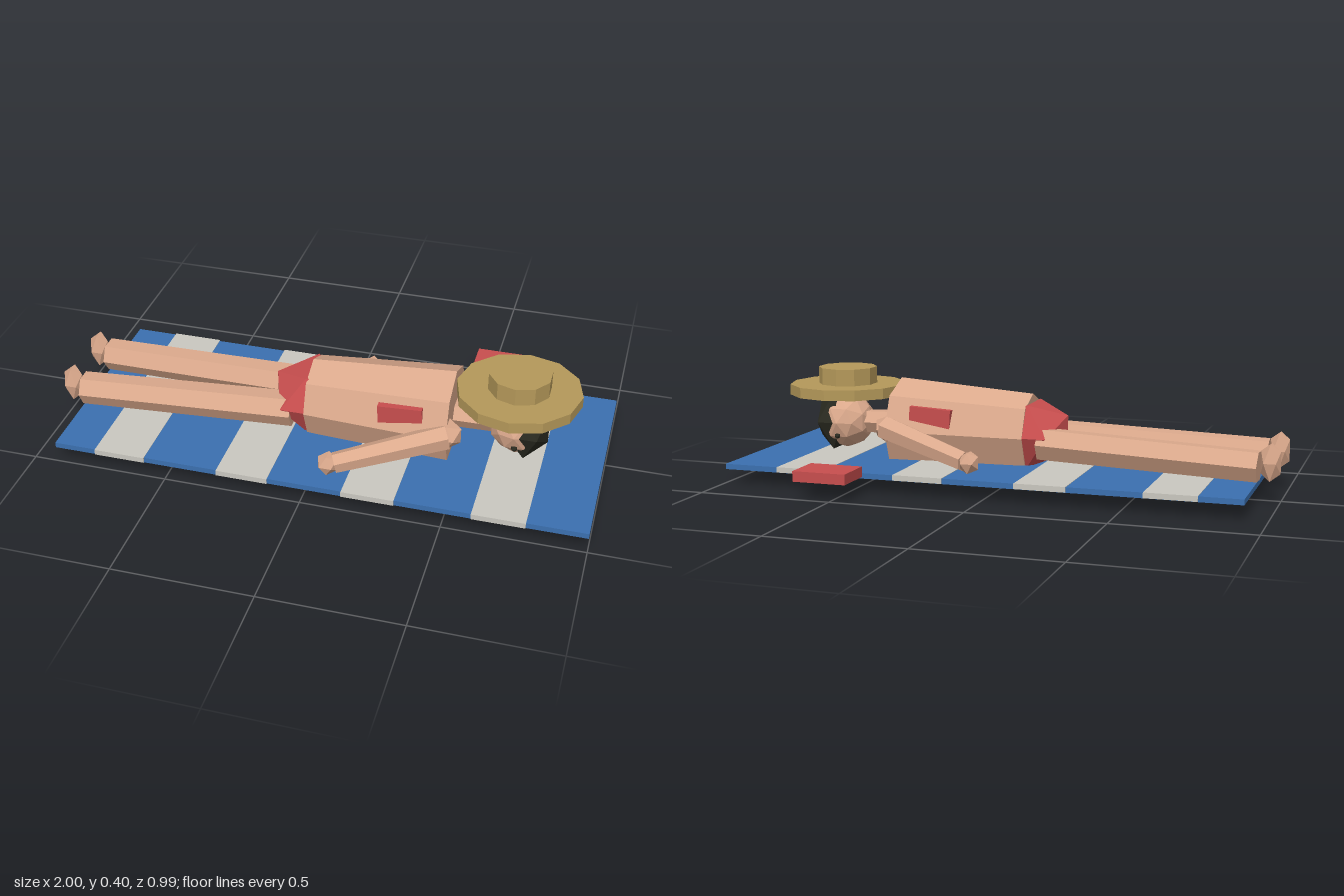
import * as THREE from 'three';

export function createModel() {
  const root = new THREE.Group();
  root.name = 'sunbather';
  const mat = (name, color) => {
    const m = new THREE.MeshStandardMaterial({ color, flatShading: true });
    m.name = name;
    return m;
  };
  const skin = mat('skin', 0xdba98c);
  const red = mat('red', 0xc84e4e);
  const blue = mat('towel blue', 0x3b70b0);
  const cream = mat('towel cream', 0xcac8c0);
  const straw = mat('straw', 0xb5995a);
  const dark = mat('dark hair', 0x2a2a20);

  const MID = 0.085; // z of the body's centre line
  const add = (name, geo, material, x, y, z) => {
    const m = new THREE.Mesh(geo, material);
    m.name = name;
    m.position.set(x, y, z);
    root.add(m);
    return m;
  };
  const box = (name, material, w, h, d, x, y, z) =>
    add(name, new THREE.BoxGeometry(w, h, d), material, x, y, z);
  // Faceted ball turned to lie along x
  const ball = (name, material, rx, ry, rz, x, y, z, detail = 0) => {
    const geo = new THREE.IcosahedronGeometry(1, detail).rotateZ(Math.PI / 2).scale(rx, ry, rz);
    return add(name, geo, material, x, y, z);
  };
  // Tapered cylinder from a (radius ra) to b (radius rb)
  const limb = (name, a, b, ra, rb, sides) => {
    const p = new THREE.Vector3(...a), q = new THREE.Vector3(...b);
    const dir = q.clone().sub(p);
    const c = p.clone().add(q).multiplyScalar(0.5);
    const m = add(name, new THREE.CylinderGeometry(rb, ra, dir.length(), sides), skin, c.x, c.y, c.z);
    m.quaternion.setFromUnitVectors(new THREE.Vector3(0, 1, 0), dir.normalize());
    return m;
  };

  // Towel with wrapped stripes
  box('towel', blue, 1.92, 0.02, 0.81, 0.04, 0.062, MID);
  for (const x of [-0.672, -0.214, 0.24, 0.695])
    box('towelStripe', cream, 0.187, 0.02, 0.82, x, 0.0635, MID);

  // Torso, hips and neck
  limb('torso', [-0.065, 0.178, MID], [0.46, 0.183, MID], 0.148, 0.182, 8).scale.z = 0.96;
  ball('swimwear', red, 0.155, 0.135, 0.165, -0.07, 0.18, MID);
  limb('neck', [0.44, 0.19, MID], [0.62, 0.19, MID], 0.05, 0.046, 6);

  // Paired parts
  for (const s of [-1, 1]) {
    const z = (d) => MID + s * d;
    limb('leg', [-0.925, 0.128, z(0.121)], [-0.12, 0.157, z(0.086)], 0.06, 0.064, 6);
    ball('foot', skin, 0.041, 0.076, 0.041, -0.965, 0.145, z(0.121));
    limb('arm', [0.095, 0.117, z(0.31)], [0.46, 0.193, z(0.155)], 0.038, 0.048, 6);
    ball('hand', skin, 0.041, 0.044, 0.041, 0.075, 0.117, z(0.318));
    ball('shoulder', skin, 0.058, 0.055, 0.058, 0.458, 0.19, z(0.135));
    box('sidePatch', red, 0.16, 0.08, 0.04, 0.29, 0.235, z(0.131)).rotation.z = 0.06;
    ball('eye', dark, 0.012, 0.012, 0.012, 0.69, 0.14, z(0.091));
  }

  // Head and hair
  ball('head', skin, 0.107, 0.107, 0.107, 0.688, 0.19, MID, 1);
  ball('hair', dark, 0.09, 0.125, 0.12, 0.72, 0.19, MID);

  // Straw hat
  add('hatBrim', new THREE.CylinderGeometry(0.222, 0.222, 0.04, 12), straw, 0.682, 0.315, MID);
  add('hatCrown', new THREE.CylinderGeometry(0.112, 0.112, 0.065, 10), straw, 0.682, 0.366, MID);

  // Book beside the towel
  box('book', red, 0.2, 0.038, 0.15, 0.54, 0.083, -0.42);

  return root;
}
